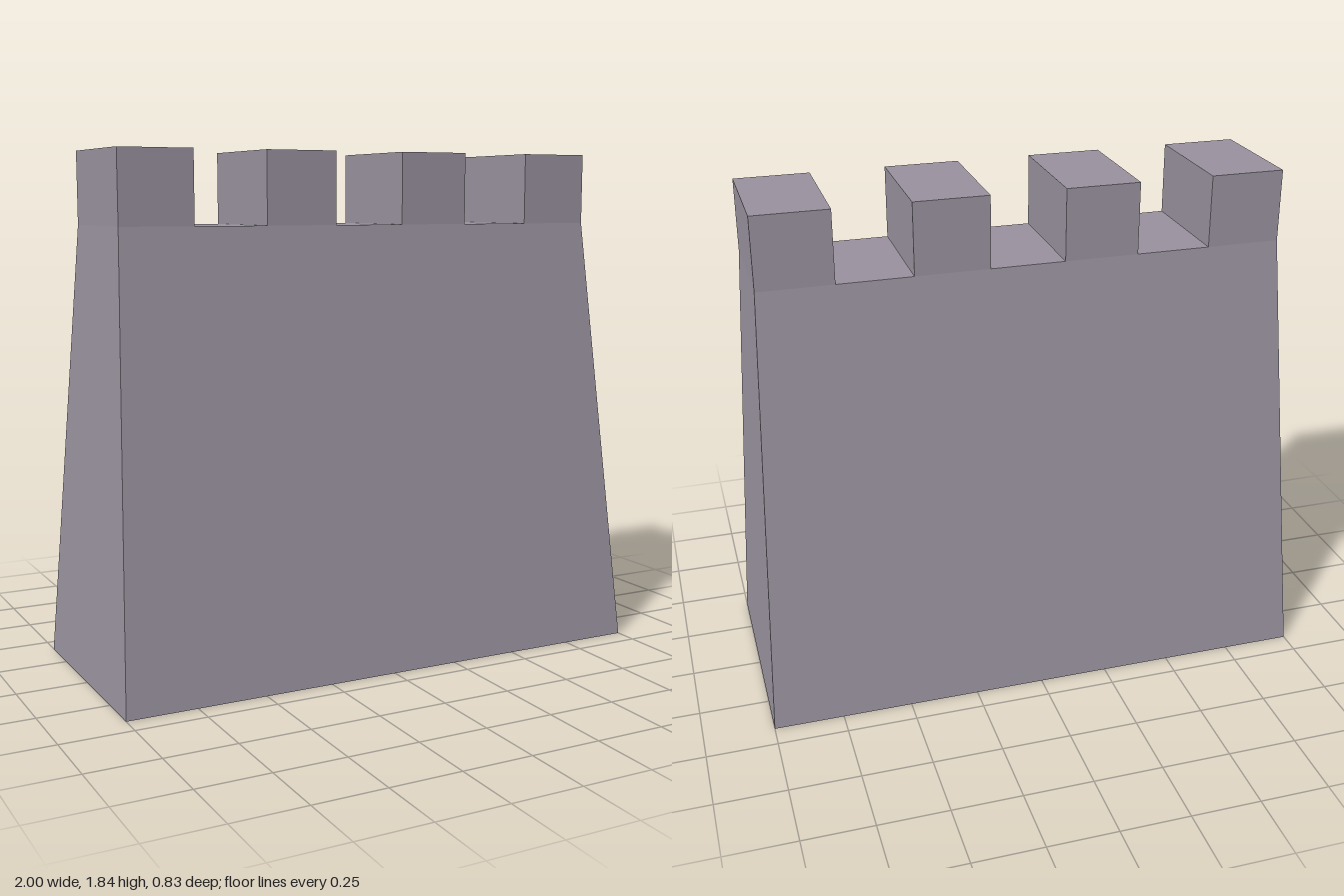
import * as THREE from 'three';

const TOP_W = 1.845, TOP_D = 0.434, BASE_W = 2, BASE_D = 0.83;
const WALL_H = 1.58, FULL_H = 1.835;

export function createModel() {
  const group = new THREE.Group();
  group.name = 'castleWall';
  const stone = new THREE.MeshStandardMaterial({ color: 0x99929e, flatShading: true });

  // Wall body: a box whose foot is widened into a batter
  const bodyGeo = new THREE.BoxGeometry(TOP_W, WALL_H, TOP_D).translate(0, WALL_H / 2, 0);
  const pos = bodyGeo.attributes.position;
  for (let i = 0; i < pos.count; i++) {
    if (pos.getY(i) < WALL_H / 2) {
      pos.setX(i, Math.sign(pos.getX(i)) * BASE_W / 2);
      pos.setZ(i, Math.sign(pos.getZ(i)) * BASE_D / 2);
    }
  }
  bodyGeo.computeVertexNormals();
  const body = new THREE.Mesh(bodyGeo, stone);
  body.name = 'wallBody';
  group.add(body);

  // Four merlons with three equal gaps between them
  const step = TOP_W / 7;
  const merlonGeo = new THREE.BoxGeometry(step, FULL_H - WALL_H, TOP_D);
  for (let i = 0; i < 4; i++) {
    const merlon = new THREE.Mesh(merlonGeo, stone);
    merlon.name = `merlon${i + 1}`;
    merlon.position.set((2 * i - 3) * step, (FULL_H + WALL_H) / 2, 0);
    group.add(merlon);
  }
  return group;
}
